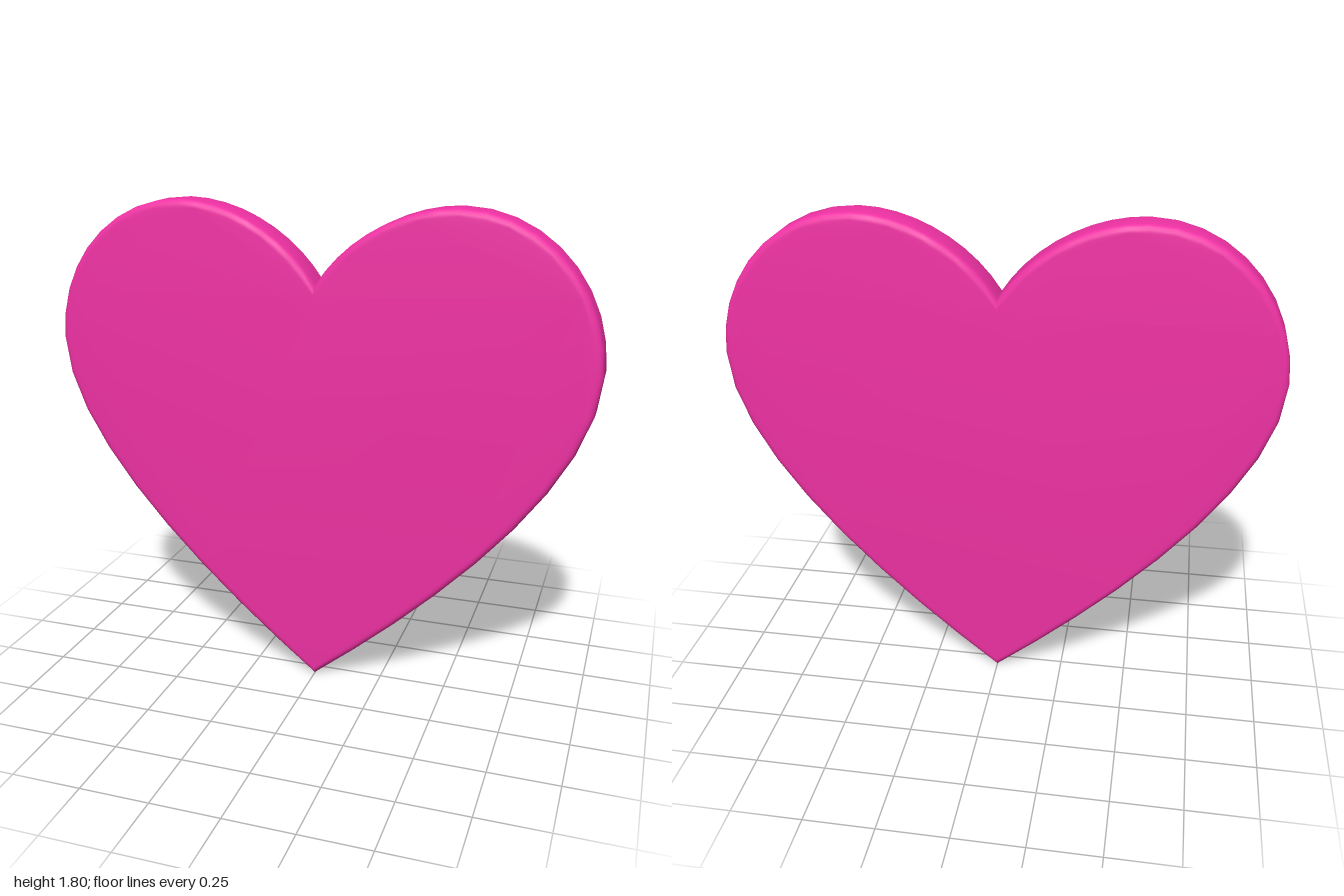
import * as THREE from 'three';
import { toCreasedNormals } from 'three/addons/utils/BufferGeometryUtils.js';

const THICKNESS = 0.14;
const BEVEL = 0.025;

// Heart outline, counter-clockwise from the bottom tip
function heartShape() {
  const s = new THREE.Shape();
  s.moveTo(0, 0);
  s.bezierCurveTo(0.46, 0.36, 1, 0.87, 1, 1.27); // lower right flank
  s.bezierCurveTo(1, 1.565, 0.776, 1.8, 0.5, 1.8); // outer right lobe
  s.bezierCurveTo(0.3, 1.8, 0.1, 1.68, 0, 1.52); // down into the cleft
  s.bezierCurveTo(-0.1, 1.68, -0.3, 1.8, -0.5, 1.8);
  s.bezierCurveTo(-0.776, 1.8, -1, 1.565, -1, 1.27);
  s.bezierCurveTo(-1, 0.87, -0.46, 0.36, 0, 0);
  return s;
}

export function createModel() {
  const group = new THREE.Group();
  group.name = 'heart';

  // Flat plate with softly rounded rims, bevelled inside the outline
  const depth = THICKNESS - 2 * BEVEL;
  const geometry = new THREE.ExtrudeGeometry(heartShape(), {
    depth,
    curveSegments: 9,
    bevelEnabled: true,
    bevelThickness: BEVEL,
    bevelSize: BEVEL,
    bevelOffset: -BEVEL,
    bevelSegments: 4,
  });
  geometry.translate(0, 0, -depth / 2);

  const plate = new THREE.Mesh(
    toCreasedNormals(geometry, 0.5),
    new THREE.MeshStandardMaterial({ color: 0xf032a4 })
  );
  plate.name = 'heartPlate';
  group.add(plate);
  return group;
}
